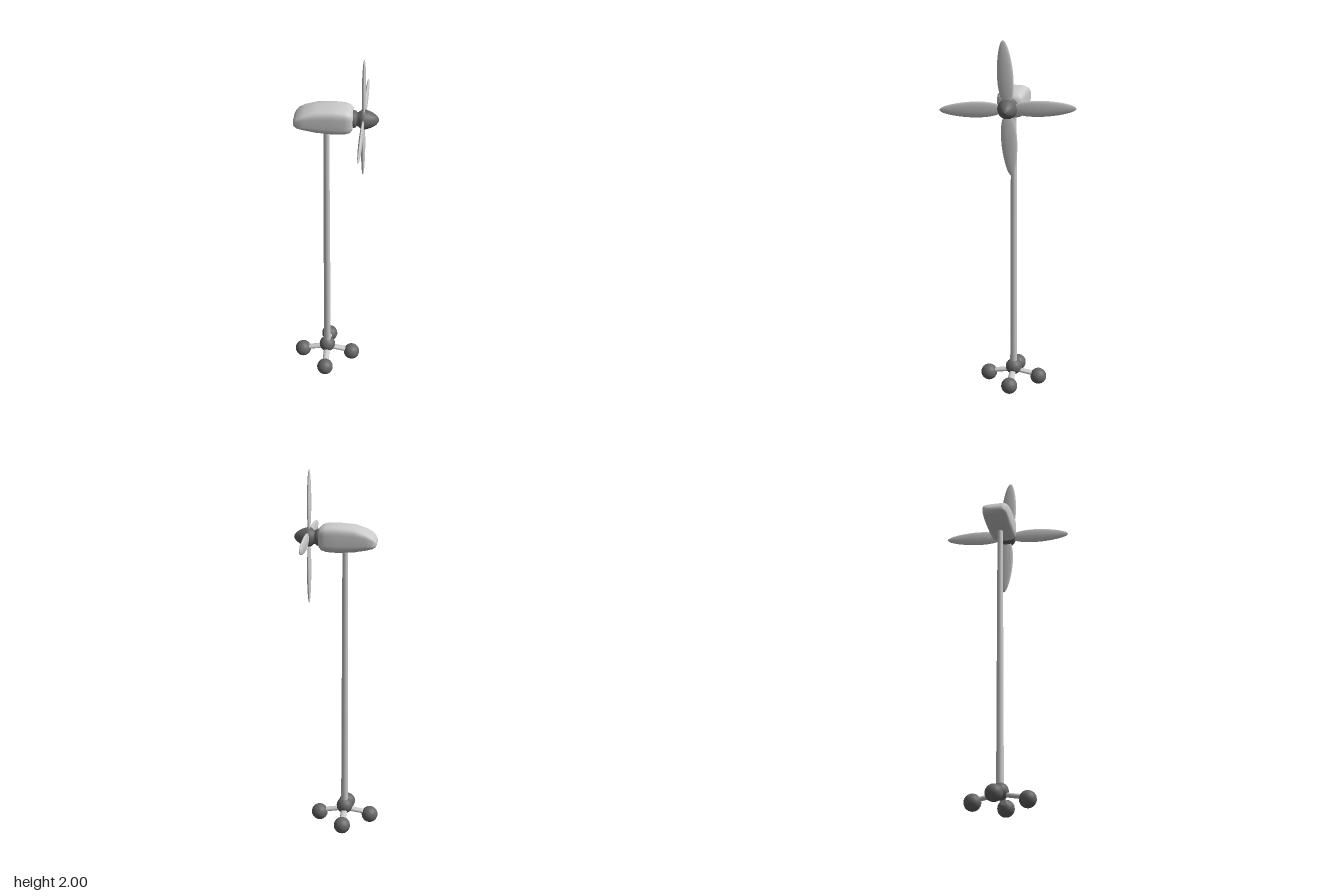
import * as THREE from 'three';

const light = new THREE.MeshStandardMaterial({ color: 0xcccccc });
const dark = new THREE.MeshStandardMaterial({ color: 0x666666 });
const MAST_X = -0.04, AXIS_Y = 1.65, ROTOR_X = 0.147;

function part(parent, name, geometry, material, x = 0, y = 0, z = 0) {
  const mesh = new THREE.Mesh(geometry, material);
  mesh.name = name;
  mesh.position.set(x, y, z);
  parent.add(mesh);
  return mesh;
}

// Rounded-box loft along x; each station is [x, bottom, top, half width]
function loft(stations, sides) {
  const positions = [], index = [];
  const squash = (v) => Math.sign(v) * Math.pow(Math.abs(v), 0.5);
  stations.forEach(([x, bottom, top, half], i) => {
    for (let j = 0; j < sides; j++) {
      const a = (j / sides) * Math.PI * 2;
      positions.push(x, (top + bottom) / 2 + squash(Math.sin(a)) * (top - bottom) / 2, squash(Math.cos(a)) * half);
      if (i === stations.length - 1) continue;
      const k = (j + 1) % sides, p = i * sides, q = p + sides;
      index.push(p + j, q + j, q + k, p + j, q + k, p + k);
    }
  });
  const geometry = new THREE.BufferGeometry();
  geometry.setAttribute('position', new THREE.Float32BufferAttribute(positions, 3));
  geometry.setIndex(index);
  geometry.computeVertexNormals();
  return geometry;
}

// Lathe around the x axis from [x, radius] points
function latheX(points, segments = 24) {
  const profile = points.map(([x, r]) => new THREE.Vector2(r, x));
  return new THREE.LatheGeometry(profile, segments).rotateZ(-Math.PI / 2);
}

// Flat oval blade pointing up, a little wider towards the root
function bladeGeometry() {
  const geometry = new THREE.SphereGeometry(1, 20, 24);
  const p = geometry.attributes.position;
  for (let i = 0; i < p.count; i++) {
    const t = p.getY(i);
    p.setXYZ(i, p.getX(i) * 0.01, 0.185 + t * 0.165, p.getZ(i) * 0.041 * (1 - 0.18 * t));
  }
  geometry.computeVertexNormals();
  return geometry;
}

export function createModel() {
  const model = new THREE.Group();
  model.name = 'windTurbine';

  // Base: centre ball with four sloping arms ending in ball feet
  const base = new THREE.Group();
  base.name = 'base';
  base.position.x = MAST_X;
  model.add(base);
  const ball = new THREE.SphereGeometry(0.045, 20, 14);
  part(base, 'baseHub', ball, dark, 0, 0.095, 0);
  for (let i = 0; i < 4; i++) {
    const leg = new THREE.Group();
    leg.name = 'leg';
    leg.rotation.y = i * Math.PI / 2;
    base.add(leg);
    part(leg, 'foot', ball, dark, 0.141, 0.047, 0);
    const arm = part(leg, 'arm', new THREE.CylinderGeometry(0.012, 0.012, 0.145, 12), light, 0.07, 0.069, 0);
    arm.rotation.z = -Math.PI / 2 - 0.17;
    arm.scale.z = 1.45;
  }

  // Mast
  part(model, 'mast', new THREE.CylinderGeometry(0.015, 0.02, 1.52, 16), light, MAST_X, 0.85, 0);

  // Nacelle: boxy body narrowing to a low tail
  part(model, 'nacelle', loft([
    [-0.204, 1.634, 1.634, 0],
    [-0.204, 1.626, 1.643, 0.04],
    [-0.199, 1.616, 1.653, 0.056],
    [-0.183, 1.606, 1.675, 0.067],
    [-0.15, 1.597, 1.695, 0.07],
    [-0.09, 1.585, 1.715, 0.071],
    [0, 1.579, 1.722, 0.071],
    [0.055, 1.582, 1.719, 0.07],
    [0.08, 1.59, 1.71, 0.065],
    [0.093, 1.603, 1.698, 0.054],
    [0.098, 1.62, 1.682, 0.035],
    [0.098, 1.65, 1.65, 0],
  ], 40), light);

  // Rotor: collar, spinner and four blades
  const rotor = new THREE.Group();
  rotor.name = 'rotor';
  rotor.position.y = AXIS_Y;
  model.add(rotor);
  part(rotor, 'collar', latheX([[0.088, 0.045], [0.102, 0.045], [0.11, 0.041], [0.116, 0.032], [0.118, 0]]), dark);
  part(rotor, 'spinner', latheX([
    [0.1, 0.036], [0.115, 0.034], [0.123, 0.037], [0.132, 0.046], [0.143, 0.051], [0.155, 0.05],
    [0.175, 0.044], [0.195, 0.035], [0.212, 0.023], [0.222, 0.01], [0.225, 0],
  ]), dark);
  const blade = bladeGeometry();
  for (let i = 0; i < 4; i++) {
    part(rotor, 'blade', blade, light, ROTOR_X).rotation.x = 0.06 + i * Math.PI / 2;
  }

  return model;
}
